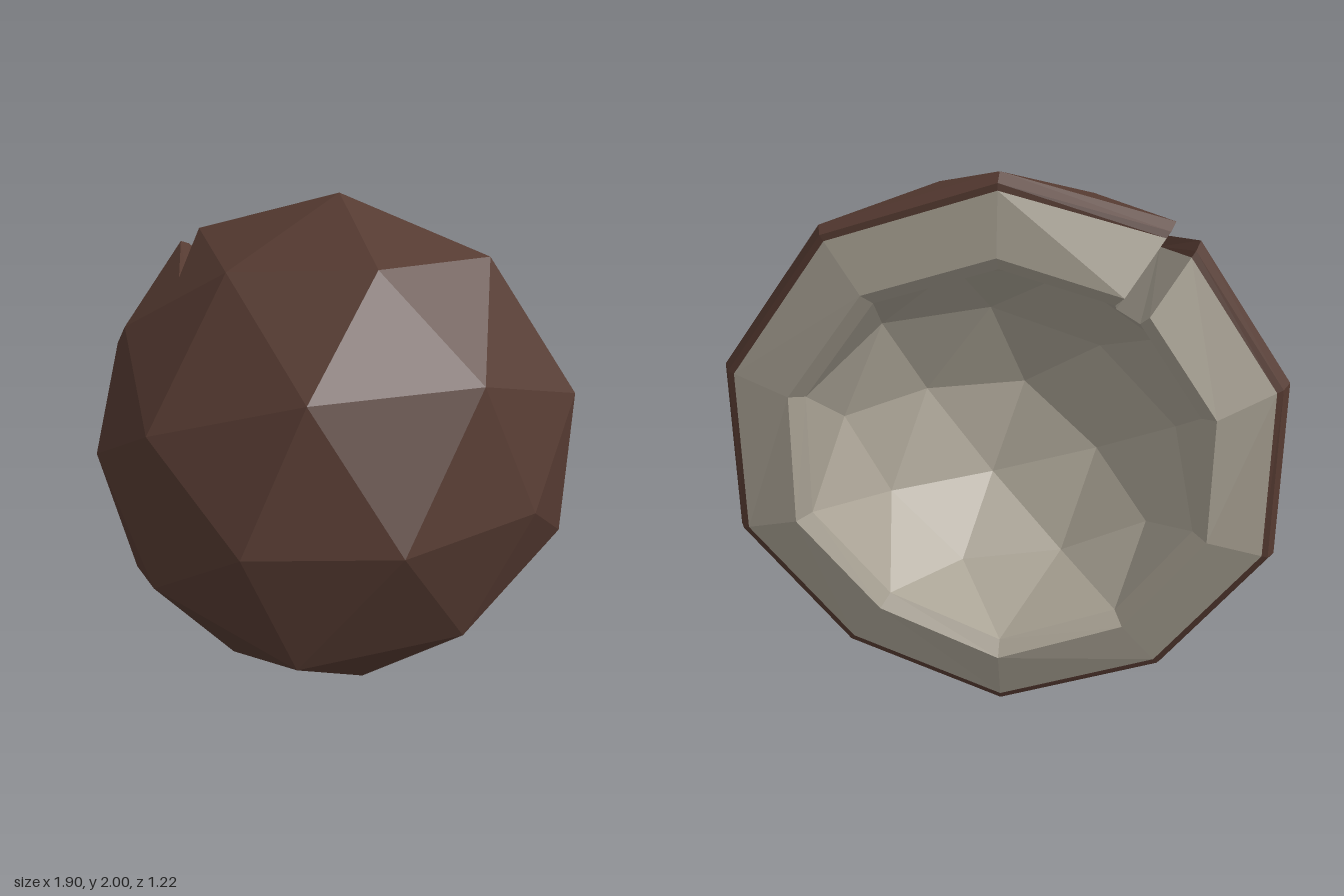
import * as THREE from 'three';

const brown = new THREE.MeshStandardMaterial({ color: 0x553a31 });
brown.name = 'husk brown';
const cream = new THREE.MeshStandardMaterial({ color: 0xa9a294 });
cream.name = 'flesh cream';

const CHIP = 3;          // rim index (126 degrees) where the notch is cut
const HALF_GAP = 0.05;   // half the width of the notch

// point on a ring around the z axis, centred at y = 1
function polar(radius, degrees, z) {
  const a = THREE.MathUtils.degToRad(degrees);
  return new THREE.Vector3(radius * Math.cos(a), 1 + radius * Math.sin(a), z);
}

// open loop of 11 rim points: starts on one side of the notch, ends on the other
function rimRow(radius, depths) {
  const row = [];
  for (let m = 0; m <= 10; m++) {
    const i = (CHIP + m) % 10;
    const angle = 18 + 36 * i;
    const p = polar(radius, angle, depths[i]);
    const side = m === 0 ? HALF_GAP : m === 10 ? -HALF_GAP : 0;
    const t = THREE.MathUtils.degToRad(angle + 90);
    p.x += Math.cos(t) * side;
    p.y += Math.sin(t) * side;
    row.push(p);
  }
  return row;
}

const average = (...pts) =>
  pts.reduce((s, p) => s.add(p), new THREE.Vector3()).divideScalar(pts.length);

// half of a once-subdivided icosahedron, joined to a notched rim
function dome(pole, ring1, ring2, row, apex) {
  const tris = [];
  for (let k = 0; k < 5; k++) {
    const a = ring1[k], b = ring1[(k + 1) % 5];
    const c = ring2[2 * k], d = ring2[2 * k + 1], e = ring2[(2 * k + 2) % 10];
    tris.push([pole, a, b], [a, c, d], [a, d, b], [b, d, e]);
  }
  for (let m = 0; m < 10; m++) {
    const next = ring2[(CHIP + 1 + m) % 10];
    tris.push([next, row[m], row[m + 1]]);
    if (m > 0) tris.push([ring2[(CHIP + m) % 10], row[m], next]);
  }
  const before = ring2[CHIP], after = ring2[CHIP + 1];
  tris.push([before, apex, after], [apex, row[0], after], [before, row[10], apex]);
  return tris;
}

// strip of quads between two rim rows
function band(p, q) {
  const tris = [];
  for (let m = 0; m < 10; m++) {
    tris.push([p[m], q[m], q[m + 1]], [p[m], q[m + 1], p[m + 1]]);
  }
  return tris;
}

const flip = (tris) => tris.map(([a, b, c]) => [a, c, b]);
const fan = (pts) => pts.slice(2).map((p, i) => [pts[0], pts[i + 1], p]);

function addPart(group, name, material, tris) {
  const g = new THREE.BufferGeometry().setFromPoints(tris.flat());
  g.computeVertexNormals(); // unindexed, so every facet stays flat
  const mesh = new THREE.Mesh(g, material);
  mesh.name = name;
  group.add(mesh);
}

export function createModel() {
  const group = new THREE.Group();
  group.name = 'halfShell';

  // outer dome, slightly uneven in depth
  const pole = new THREE.Vector3(0, 1, 0.61);
  const ring1 = [0.42, 0.39, 0.41, 0.43, 0.49].map((z, k) => polar(0.526, 72 * k, z));
  const ring2 = [-0.05, 0.03, -0.04, 0.03, -0.05, 0.03, 0, 0.07, 0, 0.08]
    .map((z, j) => polar(j % 2 ? 0.85 : 0.894, 36 * j, z));

  // rim rows, from the outer edge inward
  const rimZ = [-0.48, -0.47, -0.47, -0.39, -0.40, -0.47, -0.47, -0.51, -0.47, -0.51];
  const crestZ = [-0.56, -0.56, -0.56, -0.56, -0.56, -0.56, -0.56, -0.61, -0.56, -0.60];
  const rim = rimRow(1, rimZ);
  const lip = rimRow(0.975, rimZ.map((z) => z - 0.045));
  const crest = rimRow(0.75, crestZ);
  const border = lip.map((p, m) => p.clone().lerp(crest[m], 0.1));
  const bevel = rimRow(0.7, crestZ.map((z) => z + 0.045));

  // hollow, a smaller copy of the dome
  const inPole = new THREE.Vector3(0, 1, 0.18);
  const inRing1 = ring1.map((_, k) => polar(0.37, 72 * k, 0.06));
  const inRing2 = ring2.map((_, j) =>
    polar(j % 2 ? 0.595 : 0.626, 36 * j, j % 2 ? -0.15 : -0.22));

  // bottom of the notch, outside to inside
  const apexOut = average(polar(1, 126, rimZ[CHIP]), ring2[3], ring2[4]);
  const apexIn = average(polar(0.7, 126, -0.515), inRing2[3], inRing2[4]);
  const apexMid = apexOut.clone().lerp(apexIn, 0.15);

  addPart(group, 'husk', brown, dome(pole, ring1, ring2, rim, apexOut));
  addPart(group, 'huskRim', brown, [...band(rim, lip), ...band(lip, border)]);
  addPart(group, 'fleshRim', cream, [...band(border, crest), ...band(crest, bevel)]);
  addPart(group, 'hollow', cream, flip(dome(inPole, inRing1, inRing2, bevel, apexIn)));

  // both walls of the notch
  const wall = (m, list) => fan([apexMid, ...list.map((r) => (Array.isArray(r) ? r[m] : r))]);
  const huskWall = [border, lip, rim, apexOut];
  const fleshWall = [apexIn, bevel, crest, border];
  addPart(group, 'notchHusk', brown, [...wall(0, huskWall), ...flip(wall(10, huskWall))]);
  addPart(group, 'notchFlesh', cream, [...wall(0, fleshWall), ...flip(wall(10, fleshWall))]);

  return group;
}
